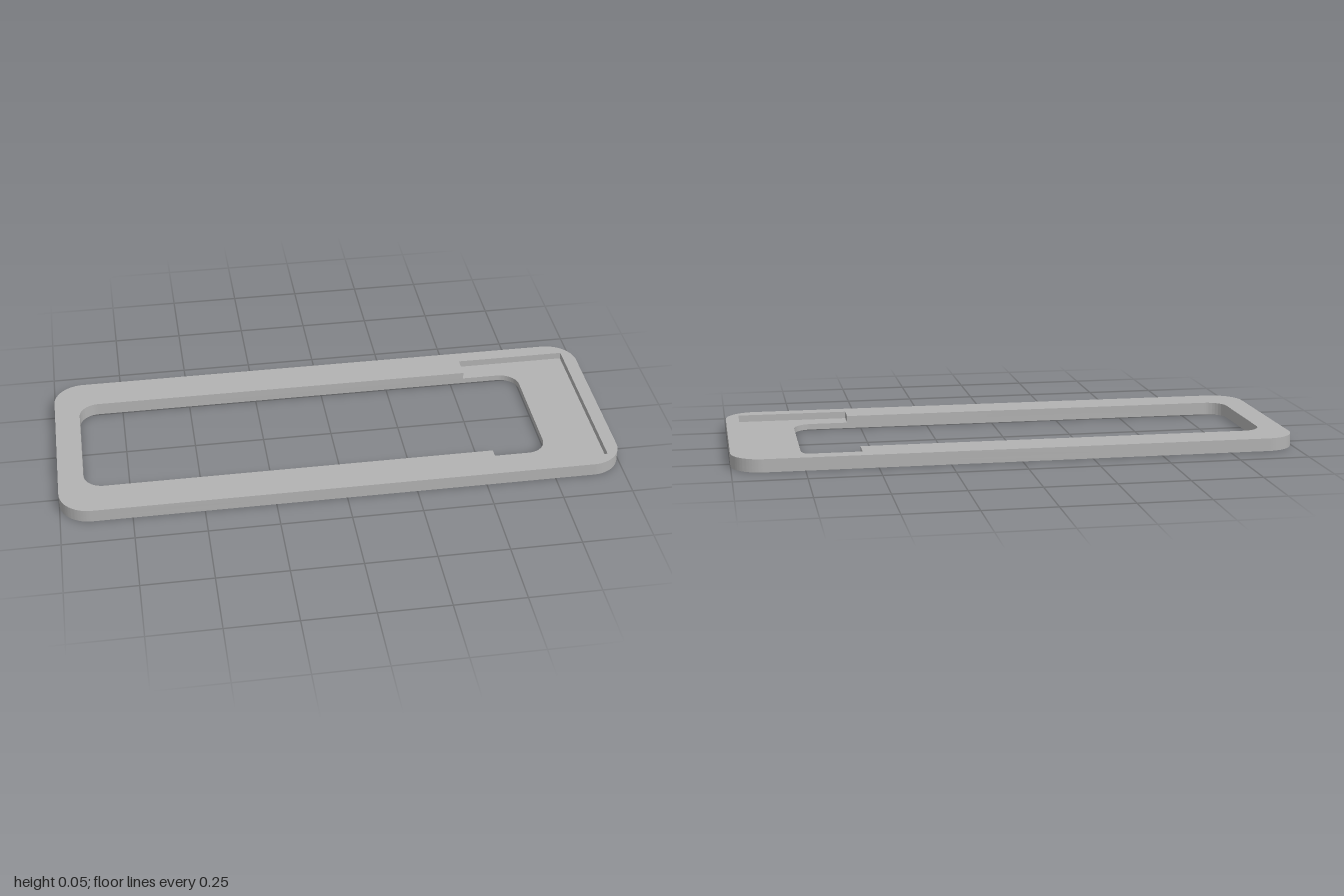
import * as THREE from 'three';
import { toCreasedNormals } from 'three/addons/utils/BufferGeometryUtils.js';

const HEIGHT = 0.046, FLOOR = 0.021;
const OUTER = { x0: -1, x1: 1, z: 0.388, r: 0.11 };
const WINDOW = { x0: -0.91, x1: 0.753, z: 0.252, r: 0.07 };
const RECESS = { x0: 0.55, x1: 0.952, z: 0.333 };

// Rounded rectangle, symmetric about the x axis
function roundedRect(path, { x0, x1, z, r }) {
  path.moveTo(x0 + r, -z);
  path.lineTo(x1 - r, -z);
  path.absarc(x1 - r, -z + r, r, -Math.PI / 2, 0);
  path.lineTo(x1, z - r);
  path.absarc(x1 - r, z - r, r, 0, Math.PI / 2);
  path.lineTo(x0 + r, z);
  path.absarc(x0 + r, z - r, r, Math.PI / 2, Math.PI);
  path.lineTo(x0, -z + r);
  path.absarc(x0 + r, -z + r, r, Math.PI, Math.PI * 1.5);
  return path;
}

// Window outline widened by the recess at its +x end
function recessedOpening() {
  const { x0, z, r } = WINDOW;
  const path = new THREE.Path();
  path.moveTo(RECESS.x0, -RECESS.z);
  path.lineTo(RECESS.x1, -RECESS.z);
  path.lineTo(RECESS.x1, RECESS.z);
  path.lineTo(RECESS.x0, RECESS.z);
  path.lineTo(RECESS.x0, z);
  path.lineTo(x0 + r, z);
  path.absarc(x0 + r, z - r, r, Math.PI / 2, Math.PI);
  path.lineTo(x0, -z + r);
  path.absarc(x0 + r, -z + r, r, Math.PI, Math.PI * 1.5);
  path.lineTo(RECESS.x0, -z);
  path.closePath();
  return path;
}

// Flat plate with one opening, lying between two heights
function plate(name, hole, y0, y1, material) {
  const shape = roundedRect(new THREE.Shape(), OUTER);
  shape.holes.push(hole);
  const geometry = new THREE.ExtrudeGeometry(shape, {
    depth: y1 - y0, bevelEnabled: false, curveSegments: 16,
  });
  geometry.rotateX(-Math.PI / 2);
  geometry.translate(0, y0, 0);
  const mesh = new THREE.Mesh(toCreasedNormals(geometry, 0.5), material);
  mesh.name = name;
  return mesh;
}

export function createModel() {
  const grey = new THREE.MeshStandardMaterial({ color: 0xb2b2b2 });
  grey.name = 'grey';

  const group = new THREE.Group();
  group.name = 'frame';
  // Lower layer forms the recess floor, upper layer its rim
  group.add(
    plate('lowerFrame', roundedRect(new THREE.Path(), WINDOW), 0, FLOOR, grey),
    plate('upperFrame', recessedOpening(), FLOOR, HEIGHT, grey),
  );
  return group;
}
